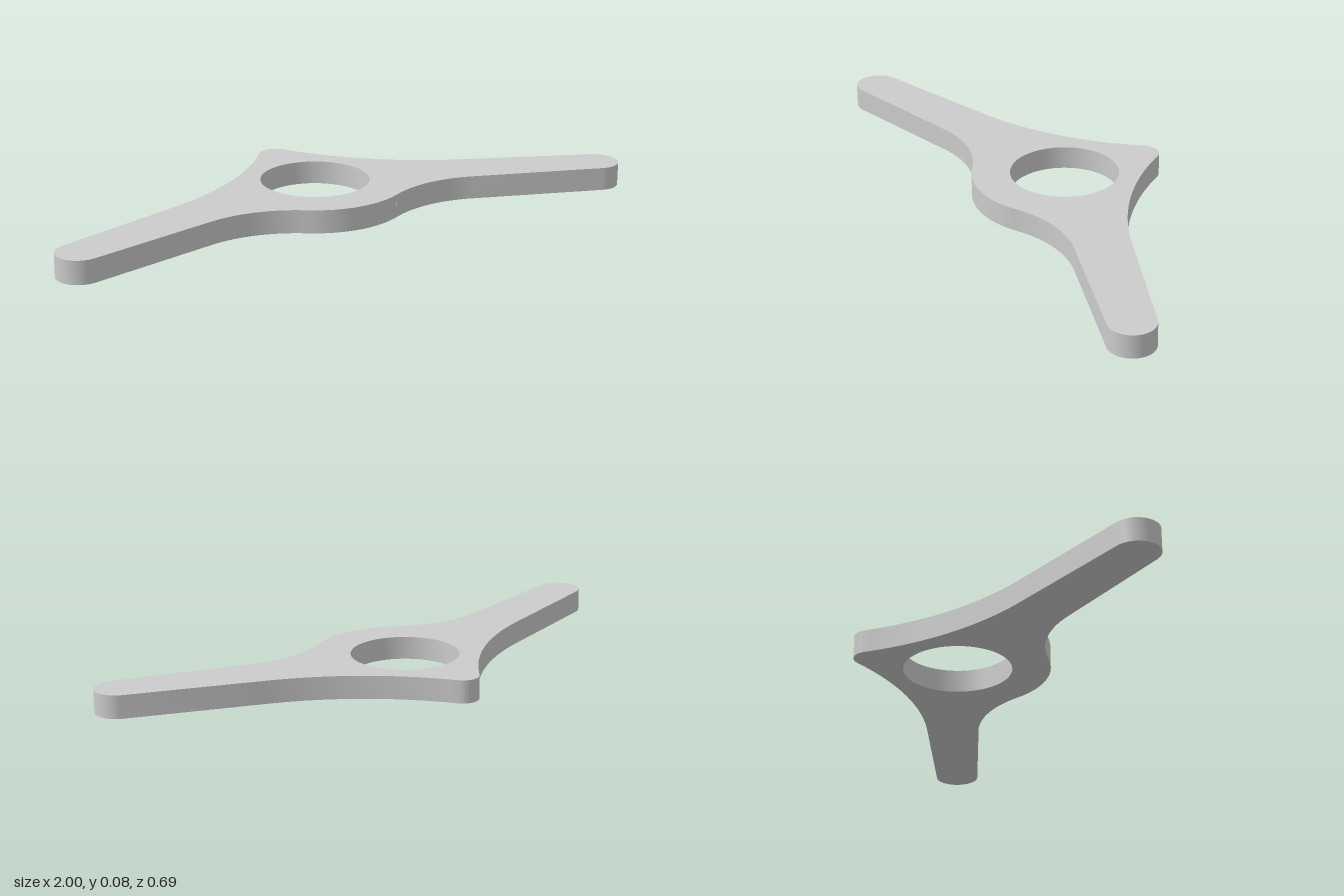
import * as THREE from 'three';
import { toCreasedNormals } from 'three/addons/utils/BufferGeometryUtils.js';

const HEIGHT = 0.077;

// Points along a circular arc, angles in degrees in the (x, z) plane
function arc(cx, cz, r, from, to, steps) {
  return Array.from({ length: steps + 1 }, (_, i) => {
    const a = THREE.MathUtils.degToRad(from + ((to - from) * i) / steps);
    return new THREE.Vector2(cx + r * Math.cos(a), cz + r * Math.sin(a));
  });
}

export function createModel() {
  const group = new THREE.Group();
  group.name = 'pageHolder';

  // Left half of the outline, from the pointed back to the front of the hub
  const half = [
    ...arc(0, -0.296, 0.054, -90, -34.8, 10),     // rounded tip
    ...arc(0.866, -0.897, 1.0, 145.2, 110, 24),   // long hollow flank
    ...arc(0.925, 0.27, 0.075, -70, 106.3, 24),   // rounded wing end
    ...arc(0.365, 0.58, 0.38, -73.7, -122.2, 16), // hollow between wing and hub
    ...arc(0, 0, 0.305, 57.8, 90, 12),            // hub front
  ];
  const mirrored = half.slice(1, -1).reverse().map((p) => new THREE.Vector2(-p.x, p.y));
  const shape = new THREE.Shape([...half, ...mirrored]);

  // Thumb hole
  shape.holes.push(new THREE.Path(arc(0, 0, 0.179, 0, 360, 72).slice(0, -1)));

  // Flat plate lying on the ground
  const plate = new THREE.ExtrudeGeometry(shape, { depth: HEIGHT, bevelEnabled: false });
  plate.rotateX(Math.PI / 2).translate(0, HEIGHT, 0.002);

  const body = new THREE.Mesh(
    toCreasedNormals(plate, 0.6),
    new THREE.MeshStandardMaterial({ color: 0xcccccc })
  );
  body.name = 'wingedPlate';
  group.add(body);
  return group;
}
